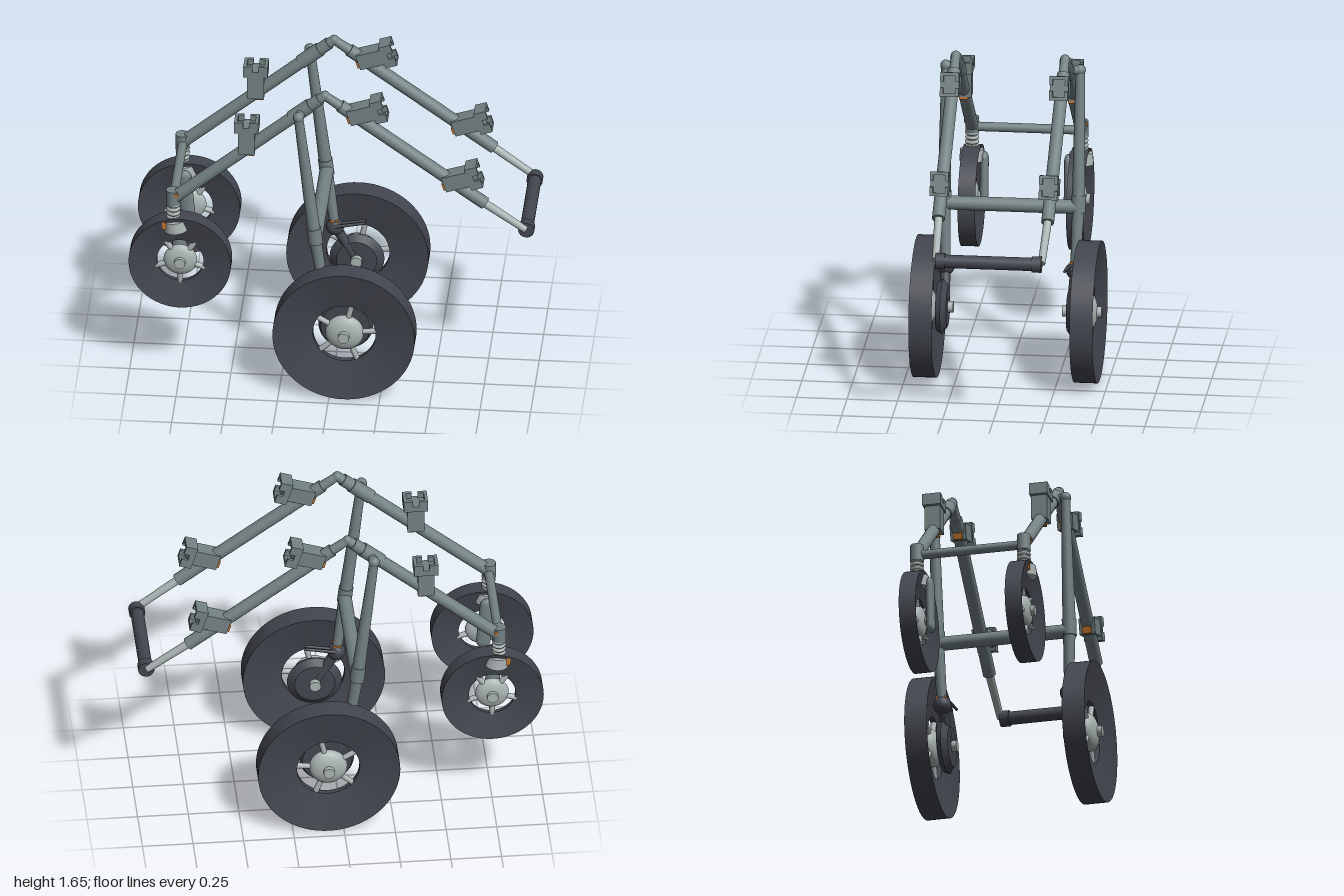
import * as THREE from 'three';

const mat = (name, color) => Object.assign(new THREE.MeshStandardMaterial({ color }), { name });

export function createModel() {
  const model = new THREE.Group();
  const frame = mat('frame grey', 0x748284);
  const light = mat('light metal', 0xa9b4b2);
  const dark = mat('dark rubber', 0x43464f);
  const orange = mat('orange accent', 0xc87a32);
  const tyreMat = dark.clone();
  tyreMat.name = 'tyre rubber';
  tyreMat.side = THREE.DoubleSide;
  const V = (x, y, z) => new THREE.Vector3(x, y, z);

  const add = (parent, name, geo, material, x = 0, y = 0, z = 0) => {
    const m = new THREE.Mesh(geo, material);
    m.name = name;
    m.position.set(x, y, z);
    parent.add(m);
    return m;
  };
  // Round bar from a to b, with a radius at each end
  const rod = (parent, name, a, b, ra, rb, material) => {
    const d = b.clone().sub(a);
    const m = add(parent, name, new THREE.CylinderGeometry(rb, ra, d.length(), 24), material);
    m.position.copy(a).addScaledVector(d, 0.5);
    m.quaternion.setFromUnitVectors(V(0, 1, 0), d.normalize());
    return m;
  };
  const ball = (parent, name, p, r, material) =>
    add(parent, name, new THREE.SphereGeometry(r, 20, 14), material, p.x, p.y, p.z);

  // Wheel: local +y points outward from the vehicle
  const wheel = (name, x, y, z, s, R, hole, half, hubR, phase) => {
    const g = new THREE.Group();
    g.name = name;
    g.position.set(x, y, z * s);
    g.rotation.x = s * Math.PI / 2;
    // Dished faces and flat tread are separate strips, so the rim stays sharp
    const inner = half * 0.25;
    const strips = [[[hole, -inner], [R, -half]], [[R, -half], [R, half]],
      [[R, half], [hole, inner]], [[hole, inner], [hole, -inner]]];
    for (const p of strips)
      add(g, 'tyre', new THREE.LatheGeometry(p.map(q => new THREE.Vector2(...q)), 72), tyreMat);
    const hub = add(g, 'hub', new THREE.SphereGeometry(hubR, 32, 18), light);
    hub.scale.y = half * 0.8 / hubR;
    for (let i = 0; i < 5; i++) {
      const a = phase + i * Math.PI * 2 / 5;
      const dir = V(Math.cos(a), 0, -s * Math.sin(a));
      rod(g, 'spoke', dir.clone().multiplyScalar(hubR * 0.6), dir.clone().multiplyScalar(hole + 0.012), 0.014, 0.014, light);
    }
    add(g, 'hubCap', new THREE.CylinderGeometry(0.028, 0.028, 0.03, 24), light, 0, half * 0.85, 0);
    model.add(g);
    return g;
  };

  // Bracket: stem with a notched head and an open socket, local +y along the stem
  const bracket = (x, y, z, angle) => {
    const g = new THREE.Group();
    g.name = 'bracket';
    g.position.set(x, y, z);
    g.rotation.z = angle;
    add(g, 'stem', new THREE.BoxGeometry(0.082, 0.14, 0.08), frame, 0, 0.07, 0);
    add(g, 'headPlate', new THREE.BoxGeometry(0.12, 0.03, 0.092), frame, 0, 0.14, 0);
    for (const k of [-1, 1]) {
      add(g, 'headJaw', new THREE.BoxGeometry(0.045, 0.03, 0.016), frame, k * 0.0375, 0.17, 0.038);
      add(g, 'headJaw', new THREE.BoxGeometry(0.045, 0.03, 0.016), frame, k * 0.0375, 0.17, -0.038);
      add(g, 'headEnd', new THREE.BoxGeometry(0.016, 0.03, 0.092), frame, k * 0.052, 0.17, 0);
    }
    add(g, 'clampPin', new THREE.BoxGeometry(0.035, 0.02, 0.045), orange, 0.02, -0.004, 0);
    model.add(g);
  };

  for (const s of [1, -1]) {
    const z = 0.27 * s, zl = 0.332 * s;

    // Bent side rail
    const apex = V(-0.035, 1.625, z);
    rod(model, 'frontRail', V(-0.775, 1.01, z), V(-0.06, 1.605, z), 0.031, 0.031, frame);
    rod(model, 'railSleeve', V(-0.2, 1.49, z), V(-0.105, 1.568, z), 0.036, 0.036, frame);
    rod(model, 'railTip', V(-0.07, 1.597, z), apex, 0.026, 0.024, frame);
    ball(model, 'apexJoint', apex, 0.025, frame);
    rod(model, 'apexLink', apex, V(0.06, 1.557, z), 0.022, 0.026, frame);
    rod(model, 'rearRail', V(0.04, 1.572, z), V(0.755, 1.05, z), 0.032, 0.032, frame);
    rod(model, 'handleTube', V(0.74, 1.06, z), V(0.955, 0.905, z * 0.97), 0.021, 0.018, light);
    bracket(-0.42, 1.29, z, 0);
    bracket(0.085, 1.52, z, -1.26);
    bracket(0.555, 1.165, z, -1.26);

    // Handle end
    rod(model, 'handleEnd', V(0.958, 0.9, 0.215 * s), V(0.958, 0.9, 0.262 * s), 0.04, 0.04, dark);

    // Main leg
    const knee = V(-0.08, 0.86, zl), foot = V(-0.035, 0.53, 0.32 * s);
    rod(model, 'legPivot', V(-0.155, 1.53, z), V(-0.155, 1.53, zl), 0.022, 0.022, frame);
    ball(model, 'legTop', V(-0.16, 1.53, zl), 0.028, frame);
    rod(model, 'upperLeg', knee, V(-0.16, 1.53, zl), 0.033, 0.023, frame);
    rod(model, 'kneeCuff', V(-0.085, 0.905, zl), V(-0.075, 0.82, zl), 0.036, 0.036, frame);
    rod(model, 'lowerLeg', knee, foot, 0.031, 0.024, frame);
    add(model, 'anklePin', new THREE.BoxGeometry(0.04, 0.02, 0.054), orange, -0.037, 0.565, 0.322 * s);
    ball(model, 'ankle', foot, 0.045, dark);
    rod(model, 'swingArm', foot, V(0.07, 0.355, 0.315 * s), 0.025, 0.025, dark);
    for (const dz of [0.285, 0.31])
      rod(model, 'brakeLever', V(-0.04, 0.545, dz * s), V(0.12, 0.575, dz * s), 0.009, 0.007, dark);

    // Large wheel with brake drum and axle
    const big = wheel('largeWheel', 0.073, 0.355, 0.398, s, 0.351, 0.155, 0.057, 0.095, 0.09);
    add(big, 'brakeDrum', new THREE.CylinderGeometry(0.122, 0.135, 0.025, 48), dark, 0, -0.062, 0);
    add(big, 'brakeDrumFace', new THREE.CylinderGeometry(0.135, 0.1, 0.027, 48), dark, 0, -0.088, 0);
    add(big, 'axle', new THREE.CylinderGeometry(0.028, 0.028, 0.195, 24), light, 0, -0.031, 0);

    // Steering head, spring and single-sided fork
    rod(model, 'steeringHead', V(-0.784, 0.965, z), V(-0.784, 1.05, z), 0.034, 0.034, frame);
    add(model, 'headPin', new THREE.BoxGeometry(0.02, 0.015, 0.03), orange, -0.765, 1.035, z + 0.022 * s);
    rod(model, 'springCore', V(-0.782, 0.87, z), V(-0.784, 0.98, z), 0.023, 0.023, light);
    for (let i = 0; i < 4; i++) {
      const ring = add(model, 'springCoil', new THREE.TorusGeometry(0.026, 0.009, 8, 24), light, -0.782, 0.9 + i * 0.023, z);
      ring.rotation.x = Math.PI / 2;
    }
    rod(model, 'forkCrown', V(-0.768, 0.828, z), V(-0.775, 0.886, z), 0.062, 0.058, light);
    add(model, 'crownPin', new THREE.BoxGeometry(0.03, 0.04, 0.05), orange, -0.82, 0.862, z + 0.015 * s);
    const top = V(-0.77, 0.84, 0.208 * s), hubPoint = V(-0.75, 0.625, 0.208 * s);
    const leg = rod(model, 'forkLeg', top, hubPoint, 0.036, 0.036, frame);
    leg.scale.z = 0.6;
    for (const p of [top, hubPoint]) ball(model, 'forkLegEnd', p, 0.036, frame).scale.z = 0.6;
    rod(model, 'frontAxle', V(-0.75, 0.655, 0.205 * s), V(-0.75, 0.655, 0.27 * s), 0.022, 0.022, light);
    wheel('smallWheel', -0.748, 0.654, 0.268, s, 0.252, 0.115, 0.043, 0.083, -Math.PI / 2);
  }

  // Bars joining the two sides
  rod(model, 'handleBar', V(0.958, 0.9, -0.23), V(0.958, 0.9, 0.23), 0.033, 0.033, dark);
  rod(model, 'legCrossBar', V(-0.077, 0.845, -0.33), V(-0.077, 0.845, 0.33), 0.035, 0.035, frame);
  rod(model, 'frontCrossBar', V(-0.782, 1, -0.27), V(-0.782, 1, 0.27), 0.023, 0.023, frame);
  return model;
}
